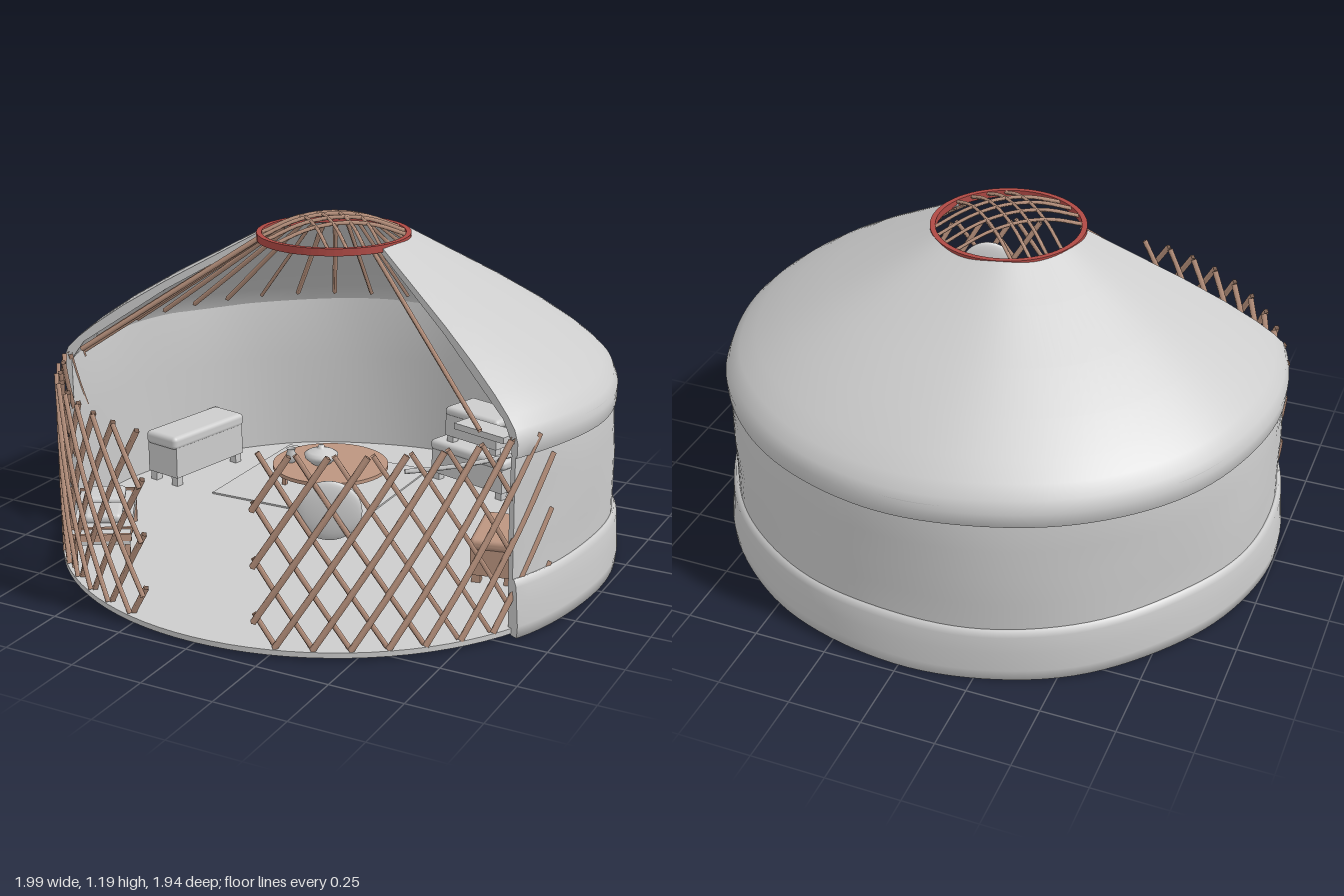
import * as THREE from 'three';
import { RoundedBoxGeometry } from 'three/addons/geometries/RoundedBoxGeometry.js';

const D = Math.PI / 180;
const material = (name, color) => {
  const m = new THREE.MeshStandardMaterial({ color, side: THREE.DoubleSide });
  m.name = name;
  return m;
};
// point on a circle round the axis; angle in degrees from the front, positive to +x
const polar = (deg, r, y) => new THREE.Vector3(r * Math.sin(deg * D), y, r * Math.cos(deg * D) * 0.985);

export function createModel() {
  const felt = material('felt', 0xcccccc);
  const wood = material('wood', 0xbc9580);
  const red = material('red paint', 0xb04a45);
  const model = new THREE.Group();

  const group = (name, parent = model) => {
    const g = new THREE.Group();
    g.name = name;
    parent.add(g);
    return g;
  };
  const add = (name, geo, mat, parent = model, x = 0, y = 0, z = 0) => {
    const m = new THREE.Mesh(geo, mat);
    m.name = name;
    m.position.set(x, y, z);
    parent.add(m);
    return m;
  };
  const bar = (name, pts, radius, mat, parent, steps = 8, sides = 4) =>
    add(name, new THREE.TubeGeometry(new THREE.CatmullRomCurve3(pts), steps, radius, sides), mat, parent);

  // Felt covers: closed profiles swept round the back, leaving the front wedge open
  const start = 62, end = 290.7;
  const wobble = (x, y, z, amount) => {
    const a = Math.atan2(x, z);
    const k = 1 + amount * (Math.sin(a * 7 + y * 6) * 0.6 + Math.sin(a * 12 + 1 - y * 9) * 0.4);
    const dip = y < 0.5 ? 0.006 * Math.sin(a * 5) : 0.004 * Math.sin(a * 6);
    return [x * k, Math.max(0, y + dip), z * k * 0.98];
  };
  const cover = (name, profile, amount) => {
    const g = group(name);
    const pts = profile.map(p => new THREE.Vector2(...p));
    const warp = geo => {
      const p = geo.attributes.position;
      for (let i = 0; i < p.count; i++) p.setXYZ(i, ...wobble(p.getX(i), p.getY(i), p.getZ(i), amount));
      geo.computeVertexNormals();
      return geo;
    };
    add(name + 'Felt', warp(new THREE.LatheGeometry([...pts, pts[0]], 80, start * D, (end - start) * D)), felt, g);
    for (const a of [start, end]) {
      const cap = new THREE.ShapeGeometry(new THREE.Shape(pts)).rotateY((a - 90) * D);
      add(name + 'CutEdge', warp(cap), felt, g);
    }
  };
  cover('skirt', [[0.965, 0.01], [0.993, 0.01], [0.996, 0.05], [0.99, 0.12], [0.986, 0.18], [0.975, 0.203], [0.96, 0.2]], 0.004);
  cover('wall', [[0.95, 0.02], [0.968, 0.02], [0.968, 0.2], [0.968, 0.3], [0.97, 0.4], [0.966, 0.5], [0.966, 0.66], [0.945, 0.66], [0.945, 0.4]], 0.005);
  cover('roof', [[0.255, 1.125], [0.4, 1.045], [0.6, 0.935], [0.75, 0.845], [0.86, 0.77], [0.92, 0.722], [0.957, 0.685],
    [0.973, 0.645], [0.972, 0.598], [0.955, 0.598], [0.945, 0.64], [0.9, 0.705], [0.6, 0.905], [0.25, 1.105]], 0.003);

  // Floor
  add('floor', new THREE.CylinderGeometry(0.968, 0.968, 0.018, 96), felt, model, 0, 0.021, 0).scale.z = 0.995;

  // Lattice walls, two crossing layers clipped to each front section
  const y0 = 0.03, y1 = 0.66, run = 24, step = 7;
  for (const side of [1, -1]) {
    const g = group(side > 0 ? 'leftLattice' : 'rightLattice');
    const a0 = 12, a1 = side > 0 ? 72 : 78;
    for (const dir of [1, -1]) {
      for (let s = a0 - run; s < a1 + run; s += step) {
        const from = Math.max(0, Math.min(1, dir > 0 ? (a0 - s) / run : (s - a1) / run));
        const to = Math.max(0, Math.min(1, dir > 0 ? (a1 - s) / run : (s - a0) / run));
        if (to - from < 0.05) continue;
        const pts = [0, 0.25, 0.5, 0.75, 1].map(k => {
          const t = from + (to - from) * k;
          return polar(side * (s + dir * run * t), dir > 0 ? 0.965 : 0.95, y0 + (y1 - y0) * t);
        });
        bar('latticeStrip', pts, 0.0105, wood, g);
      }
    }
  }
  // Strap tying the lattice to the wall
  bar('strap', [70, 62, 54, 46, 40].map(a => polar(a, 0.94, 0.6)), 0.008, felt, model, 16);
  const flap = add('foldedFlap', new THREE.BoxGeometry(0.2, 0.02, 0.08), felt, model, 0.73, 0.65, 0.385);
  flap.rotation.y = -0.3;

  // Roof poles
  const poles = group('roofPoles');
  for (let i = 0; i <= 25; i++) {
    const a = 57 + (292.5 - 57) * i / 25;
    bar('roofPole', [polar(a, 0.25, 1.105), polar(a, 0.89, 0.68)], 0.009, wood, poles, 1);
  }
  bar('roofPole', [polar(-63, 0.25, 1.11), polar(-67, 0.9, 0.685)], 0.009, wood, poles, 1);

  // Crown ring with arched crossing bars
  const crown = group('crown');
  crown.position.z = 0.015;
  const rim = [[0.245, 1.105], [0.263, 1.105], [0.263, 1.13], [0.245, 1.13], [0.245, 1.105]];
  add('crownRing', new THREE.LatheGeometry(rim.map(p => new THREE.Vector2(...p)), 64).toNonIndexed(), red, crown)
    .geometry.computeVertexNormals();
  for (const turn of [45, -45]) {
    const arches = group('crownArches', crown);
    arches.rotation.y = turn * D;
    for (const off of [-0.09, -0.03, 0.03, 0.09]) {
      const half = Math.sqrt(0.25 ** 2 - off ** 2);
      const pts = [-1, -0.5, 0, 0.5, 1].map(k =>
        new THREE.Vector3(k * half, 1.12 + 0.065 * (1 - k * k) * (half / 0.25) ** 2, off));
      bar('crownArch', pts, 0.007, wood, arches, 16);
    }
  }

  // Round table with teapot and cup
  const table = group('table');
  table.position.set(-0.25, 0, -0.43);
  add('tableTop', new THREE.CylinderGeometry(0.222, 0.222, 0.014, 48), wood, table, 0, 0.096, 0);
  for (const x of [-1, 1]) for (const z of [-1, 1])
    add('tableLeg', new THREE.BoxGeometry(0.016, 0.065, 0.016), wood, table, x * 0.13, 0.06, z * 0.13);
  const pot = [[0, 0], [0.035, 0], [0.062, 0.025], [0.065, 0.04], [0.05, 0.05], [0.02, 0.06], [0.012, 0.064], [0.012, 0.073], [0, 0.075]];
  add('lidBowl', new THREE.LatheGeometry(pot.map(p => new THREE.Vector2(...p)), 28), felt, table, -0.03, 0.103, 0.02);
  const cup = [[0, 0], [0.015, 0], [0.022, 0.025], [0.014, 0.045], [0.018, 0.055]];
  add('cup', new THREE.LatheGeometry(cup.map(p => new THREE.Vector2(...p)), 16), felt, table, -0.14, 0.103, 0.06);
  add('rug', new THREE.BoxGeometry(0.62, 0.006, 0.6), felt, model, -0.27, 0.033, -0.4);

  // Chests: box, lid and feet
  const chest = (name, x, z, turn, w, h, d, mat, base = 0.03) => {
    const g = group(name);
    g.position.set(x, base, z);
    g.rotation.y = turn;
    add('chestBody', new THREE.BoxGeometry(w, h * 0.65, d), mat, g, 0, h * 0.5, 0);
    add('chestLid', new RoundedBoxGeometry(w * 1.05, h * 0.26, d * 1.06, 3, 0.018), mat, g, 0, h * 0.87, 0);
    for (const sx of [-1, 1]) for (const sz of [-1, 1])
      add('chestFoot', new THREE.BoxGeometry(0.03, h * 0.2, 0.03), mat, g, sx * (w / 2 - 0.02), h * 0.1, sz * (d / 2 - 0.02));
    return g;
  };
  chest('sideChest', -0.77, -0.29, -0.2, 0.15, 0.2, 0.37, felt);
  chest('lowerChest', 0.28, -0.68, -0.3, 0.35, 0.16, 0.2, felt);
  chest('upperChest', 0.28, -0.68, -0.3, 0.25, 0.14, 0.16, felt, 0.19);
  chest('smallChest', 0.65, 0.05, 0.2, 0.15, 0.16, 0.25, wood);

  // Bench with two cushions
  const bench = group('bench');
  bench.position.set(-0.665, 0, 0.475);
  bench.rotation.y = 31 * D;
  add('benchSeat', new THREE.BoxGeometry(0.2, 0.03, 0.44), felt, bench, 0, 0.13, 0);
  for (const z of [-1, 1]) {
    add('benchRail', new THREE.BoxGeometry(0.21, 0.025, 0.012), wood, bench, 0, 0.14, z * 0.215);
    for (const x of [-1, 1]) add('benchLeg', new THREE.BoxGeometry(0.018, 0.12, 0.018), wood, bench, x * 0.09, 0.085, z * 0.2);
  }
  add('benchRail', new THREE.BoxGeometry(0.21, 0.02, 0.012), wood, bench, 0, 0.14, 0.15);
  for (const z of [-0.12, 0.04])
    add('cushion', new RoundedBoxGeometry(0.13, 0.035, 0.13, 4, 0.016), felt, bench, 0, 0.16, z);

  // Round bag hung inside the lattice
  const bag = add('hangingBag', new THREE.SphereGeometry(0.1, 24, 16), felt, model, 0.41, 0.48, 0.825);
  bag.scale.set(1, 0.95, 0.2);
  bag.rotation.y = 26 * D;
  // Thin post by the chests
  add('post', new THREE.CylinderGeometry(0.006, 0.006, 0.58, 8), wood, model, 0.55, 0.32, -0.3);
  return model;
}
